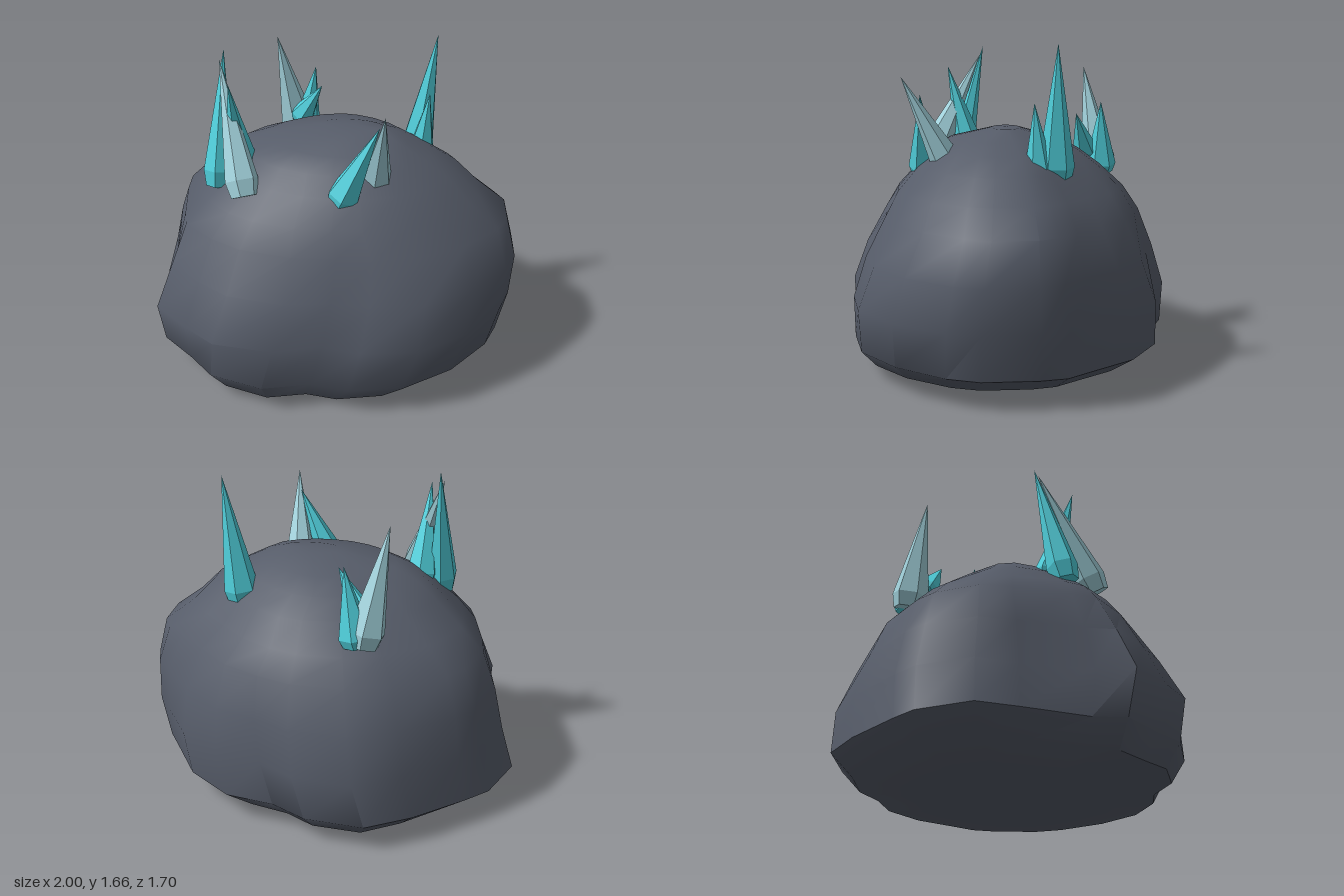
import * as THREE from 'three';
import { toCreasedNormals } from 'three/addons/utils/BufferGeometryUtils.js';

const stone = new THREE.MeshStandardMaterial({ color: 0x565c69 });
stone.name = 'slate stone';
const teal = new THREE.MeshStandardMaterial({ color: 0x50d0dc });
teal.name = 'teal crystal';
const pale = new THREE.MeshStandardMaterial({ color: 0xa2d2dc });
pale.name = 'pale crystal';

// Widest outline of the boulder, seen from above (x, z)
const outline = [
  [-0.33, -0.86], [-0.02, -0.86], [0.17, -0.78], [0.42, -0.75], [0.66, -0.6], [0.83, -0.4],
  [0.94, -0.28], [0.98, -0.15], [1, 0.12], [0.95, 0.28], [0.78, 0.53], [0.55, 0.72],
  [0.27, 0.79], [0.07, 0.77], [-0.17, 0.85], [-0.47, 0.81], [-0.63, 0.69], [-0.83, 0.54],
  [-0.83, 0.37], [-0.93, 0.05], [-1, -0.14], [-0.9, -0.4], [-0.8, -0.5], [-0.55, -0.72],
];

// Cross-sections: height, x range, z range, blend from outline to ellipse,
// then how far each corner swells: front left, front right, back left, back right
const sections = [
  [0.015, -0.55, 0.48, -0.5, 0.52, 0.3, [0, 0, 0, 0]],
  [0.04, -0.85, 0.74, -0.75, 0.78, 0.1, [0, -0.04, 0, 0]],
  [0.15, -1, 0.93, -0.85, 0.85, 0, [0, -0.05, 0.03, 0]],
  [0.38, -0.93, 0.98, -0.85, 0.84, 0, [0.02, 0.06, 0.01, 0.02]],
  [0.6, -0.88, 1, -0.78, 0.76, 0.3, [0, 0.04, -0.05, 0.04]],
  [0.8, -0.81, 0.95, -0.7, 0.65, 0.6, [-0.02, 0.05, -0.12, 0.04]],
  [0.92, -0.69, 0.79, -0.62, 0.58, 0.8, [0, 0.05, -0.13, 0.01]],
  [1.04, -0.56, 0.67, -0.49, 0.47, 1, [0, 0.02, -0.14, -0.05]],
  [1.12, -0.46, 0.53, -0.38, 0.38, 1, [0.03, 0, -0.1, -0.08]],
  [1.18, -0.32, 0.41, -0.27, 0.3, 1, [0.06, -0.03, -0.04, -0.1]],
  [1.235, -0.04, 0.28, -0.07, 0.08, 1, [0, 0, 0, 0]],
];

function boulderGeometry() {
  const n = outline.length;
  const positions = [];
  const index = [];
  for (const [y, x0, x1, z0, z1, round, corners] of sections) {
    for (const [x, z] of outline) {
      const v = (z + 0.005) / 0.855;
      const len = Math.hypot(x, v);
      const corner = corners[(v < 0 ? 2 : 0) + (x < 0 ? 1 : 0)];
      const swell = 1 + corner * (2 * x * v / len ** 2) ** 2;
      const scale = THREE.MathUtils.lerp(1, 1 / len, round) * swell;
      positions.push((x0 + x1 + x * scale * (x1 - x0)) / 2, y, (z0 + z1 + v * scale * (z1 - z0)) / 2);
    }
  }
  const bottom = n * sections.length;
  const top = bottom + 1;
  positions.push(0.1, 0, 0, 0.13, 1.24, 0);
  const last = n * (sections.length - 1);
  for (let j = 0; j < n; j++) {
    const k = (j + 1) % n;
    for (let i = 0; i < last; i += n) {
      index.push(i + j, i + n + j, i + k, i + k, i + n + j, i + n + k);
    }
    index.push(bottom, j, k, top, last + k, last + j);
  }
  const geometry = new THREE.BufferGeometry();
  geometry.setAttribute('position', new THREE.Float32BufferAttribute(positions, 3));
  geometry.setIndex(index);
  return toCreasedNormals(geometry, 0.75);
}

// Six-sided spike, widest just above the root, pointed at the tip
function crystal(name, base, tip, radius, material) {
  const a = new THREE.Vector3(...base);
  const axis = new THREE.Vector3(...tip).sub(a);
  const h = axis.length();
  const profile = [[0, 0], [radius * 0.8, 0], [radius, h * 0.12], [0, h]]
    .map(([r, y]) => new THREE.Vector2(r, y));
  const geometry = toCreasedNormals(new THREE.LatheGeometry(profile, 6), 0.05);
  const mesh = new THREE.Mesh(geometry, material);
  mesh.name = name;
  mesh.position.copy(a);
  mesh.quaternion.setFromUnitVectors(new THREE.Vector3(0, 1, 0), axis.normalize());
  return mesh;
}

// Crystals of each cluster: base, tip, radius, material
const clusters = {
  frontRightCrystals: [
    [[-0.53, 0.97, 0.28], [-0.51, 1.65, 0.13], 0.08, teal],
    [[-0.42, 1.01, 0.19], [-0.44, 1.54, 0.33], 0.085, teal],
    [[-0.35, 1.0, 0.44], [-0.53, 1.6, 0.15], 0.085, pale],
  ],
  frontLeftCrystals: [
    [[0.12, 0.99, 0.42], [0.31, 1.41, 0.43], 0.085, teal],
    [[0.28, 1.05, 0.29], [0.345, 1.5, 0.52], 0.075, pale],
  ],
  backRightCrystals: [
    [[-0.27, 0.96, -0.53], [-0.37, 1.54, -0.44], 0.095, pale],
    [[-0.24, 0.96, -0.53], [-0.17, 1.35, -0.52], 0.085, teal],
    [[-0.25, 1.06, -0.45], [-0.11, 1.29, -0.38], 0.07, teal],
  ],
  backLeftCrystals: [
    [[0.43, 0.99, -0.24], [0.52, 1.66, -0.24], 0.09, teal],
    [[0.46, 0.99, -0.16], [0.5, 1.38, -0.13], 0.075, teal],
  ],
};

export function createModel() {
  const model = new THREE.Group();
  model.name = 'crystalBoulder';

  const boulder = new THREE.Mesh(boulderGeometry(), stone);
  boulder.name = 'boulder';
  model.add(boulder);

  for (const [name, list] of Object.entries(clusters)) {
    const group = new THREE.Group();
    group.name = name;
    list.forEach((args, i) => group.add(crystal(`crystal${i + 1}`, ...args)));
    model.add(group);
  }
  return model;
}
